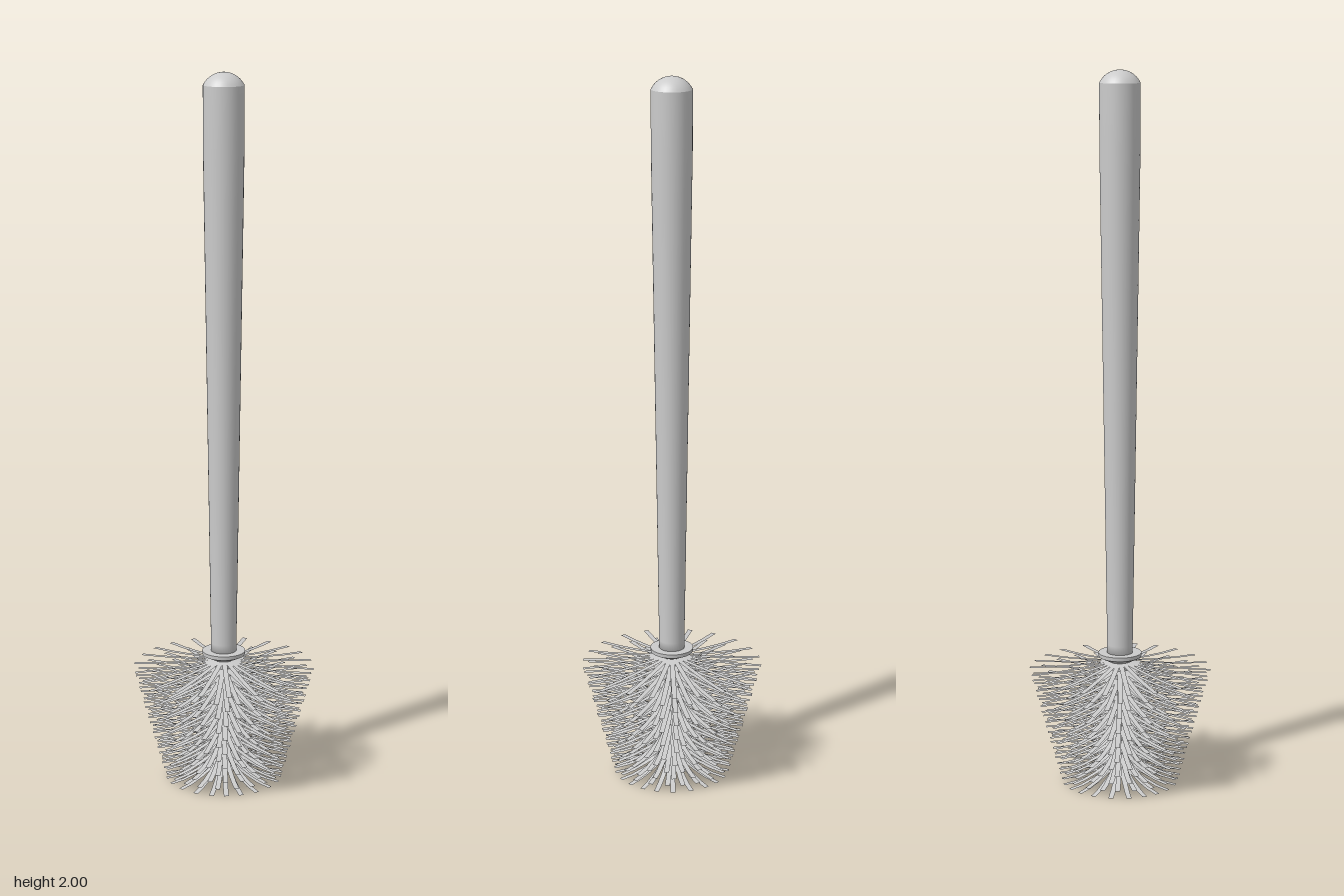
import * as THREE from 'three';
import { mergeGeometries } from 'three/addons/utils/BufferGeometryUtils.js';

const material = new THREE.MeshStandardMaterial({ color: 0xcccccc });
const bristleMaterial = new THREE.MeshStandardMaterial({ color: 0xcccccc, side: THREE.DoubleSide });

function addMesh(group, name, geometry, meshMaterial = material) {
  const mesh = new THREE.Mesh(geometry, meshMaterial);
  mesh.name = name;
  group.add(mesh);
}

function lathe(points, segments = 32) {
  return new THREE.LatheGeometry(points.map(([x, y]) => new THREE.Vector2(x, y)), segments);
}

// One thin flat bristle along +x, drooping more steeply near the core
function bristle(inner, outer, y, drop, angle) {
  const length = outer - inner;
  const geometry = new THREE.PlaneGeometry(length, 0.014, 4, 1);
  geometry.rotateX(-Math.PI / 2);
  const p = geometry.attributes.position;
  for (let i = 0; i < p.count; i++) {
    const t = THREE.MathUtils.clamp(p.getX(i) / length + 0.5, 0, 1);
    p.setX(i, inner + t * length);
    p.setY(i, y - drop * (1 - (1 - t) ** 1.6));
  }
  geometry.rotateY(angle);
  geometry.computeVertexNormals();
  return geometry;
}

export function createModel() {
  const group = new THREE.Group();

  // Tapered handle, widening upward
  addMesh(group, 'handle', lathe([[0, 0.365], [0.036, 0.365], [0.036, 0.4], [0.046, 1.1], [0.056, 1.8], [0.056, 1.965]]));

  // Low spherical cap, meeting the handle at a crease
  const dome = [];
  const radius = 0.0623, edge = Math.asin(0.056 / radius);
  for (let i = 0; i <= 10; i++) {
    const a = edge * (1 - i / 10);
    dome.push([radius * Math.sin(a), 2 - radius * (1 - Math.cos(a))]);
  }
  addMesh(group, 'handleCap', lathe(dome));

  // Flared collar: sloped underside, short rim, flat top
  const collar = [[0, 0.35], [0.03, 0.35], [0.06, 0.365], [0.061, 0.376], [0, 0.376]];
  for (let i = 0; i < collar.length - 1; i++) {
    addMesh(group, 'collar', lathe([collar[i], collar[i + 1]]));
  }

  // Core rod that carries the bristles, narrowing to its lower end
  addMesh(group, 'core', lathe([[0, 0.012], [0.01, 0.015], [0.024, 0.06], [0.024, 0.36]], 24));

  // Staggered bristle rows, shorter and steeper toward the bottom
  const rows = 15, perRow = 22;
  for (let r = 0; r < rows; r++) {
    const t = r / (rows - 1);
    const outer = 0.165 + 0.09 * t;
    const drop = 0.024 + 0.03 * (1 - t) ** 4;
    const y = 0.001 + 0.326 * t + drop;
    const parts = [];
    for (let i = 0; i < perRow; i++) {
      const jitter = 0.03 * Math.sin(i * 5.1 + r * 2.3);
      const angle = ((i + r * 0.5) / perRow) * Math.PI * 2 + jitter;
      parts.push(bristle(0.01, outer, y, drop, angle));
    }
    addMesh(group, 'bristleRow', mergeGeometries(parts), bristleMaterial);
  }

  return group;
}
